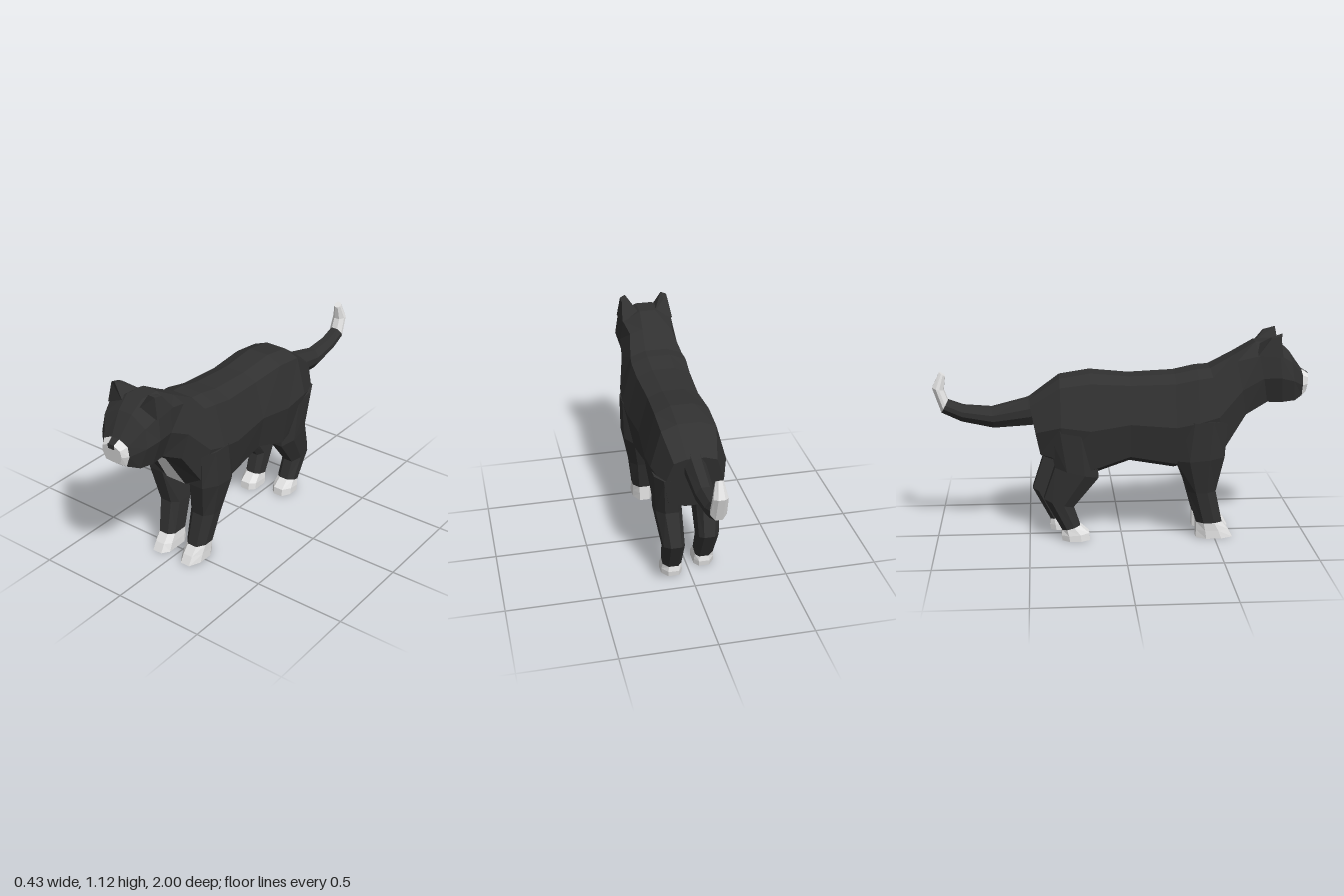
import * as THREE from 'three';

const black = new THREE.MeshStandardMaterial({ color: 0x313131 });
black.name = 'black fur';
const white = new THREE.MeshStandardMaterial({ color: 0xe4e4e4 });
white.name = 'white fur';

// Faceted skin over closed rings of [x, y, z]; isWhite(i, j) picks the faces of band i, column j.
function loft(name, rings, isWhite = () => false) {
  const n = rings[0].length, tris = [[], []];
  const add = (w, a, b, c) => tris[w ? 1 : 0].push([a, b, c]);
  for (let i = 0; i < rings.length - 1; i++) {
    for (let j = 0; j < n; j++) {
      const k = (j + 1) % n, w = isWhite(i, j);
      add(w, rings[i][j], rings[i + 1][j], rings[i + 1][k]);
      add(w, rings[i][j], rings[i + 1][k], rings[i][k]);
    }
  }
  const last = rings.length - 1;
  for (let j = 1; j < n - 1; j++) {
    add(isWhite(-1, j), rings[0][0], rings[0][j], rings[0][j + 1]);
    add(isWhite(last, j), rings[last][0], rings[last][j + 1], rings[last][j]);
  }
  // Turn the skin outwards if the enclosed volume is negative
  const vec = (p) => new THREE.Vector3(...p);
  let volume = 0;
  for (const [a, b, c] of tris.flat()) volume += vec(a).dot(vec(b).cross(vec(c)));
  const pos = [];
  for (const [a, b, c] of tris.flat()) pos.push(...a, ...(volume < 0 ? [...c, ...b] : [...b, ...c]));
  const geo = new THREE.BufferGeometry();
  geo.setAttribute('position', new THREE.Float32BufferAttribute(pos, 3));
  geo.addGroup(0, tris[0].length * 3, 0);
  geo.addGroup(tris[0].length * 3, tris[1].length * 3, 1);
  geo.computeVertexNormals();
  const mesh = new THREE.Mesh(geo, [black, white]);
  mesh.name = name;
  return mesh;
}

// Half outlines as [part of half width, part of height], from low to high
const headOutline = [[0.75, 0.03], [1, 0.45], [0.9, 0.82], [0.28, 1]];
const bodyOutline = [[0.83, 0.1], [1, 0.5], [0.72, 0.93], [0.3, 1]];

// Symmetric ring; column 9 is the strip along the underside
function section([bz, by, tz, ty, w, s], outline) {
  const half = [[s, by, bz], ...outline.map(([u, t]) =>
    [u * w, by + t * (ty - by), bz + t * (tz - bz)])];
  return [...half, ...half.slice().reverse().map(([x, y, z]) => [-x, y, z])];
}

// Leg ring with chamfered corners
const legOutline = [[0, 0.8], [0.25, 1], [0.75, 1], [1, 0.68], [1, 0.27], [0.72, 0], [0.2, 0], [0, 0.2]];
const legRing = (side, dz) => ([yb, yf, zb, zf, xi, xo]) => legOutline.map(([u, v]) =>
  [side * (xi + u * (xo - xi)), yb + v * (yf - yb), zb + v * (zf - zb) + dz]);

export function createModel() {
  const cat = new THREE.Group();
  cat.name = 'cat';

  // Torso, from neck to rump: [bottom z, bottom y, top z, top y, half width, strip half width]
  const neck = [0.77, 0.745, 0.71, 1.065, 0.155, 0.02];
  const torso = [
    [0.66, 0.66, 0.6, 1.0, 0.168, 0.04],
    [0.54, 0.46, 0.47, 0.93, 0.203, 0.06],
    [0.4, 0.41, 0.4, 0.925, 0.213, 0.055],
    [0.28, 0.385, 0.28, 0.9, 0.205, 0.05],
    [0.04, 0.43, 0.04, 0.89, 0.19, 0.06],
    [-0.17, 0.35, -0.17, 0.91, 0.2, 0.04],
    [-0.32, 0.42, -0.33, 0.885, 0.2, 0.04],
    [-0.43, 0.46, -0.49, 0.77, 0.155, 0.04],
  ];
  cat.add(loft('body', [section(neck, headOutline), ...torso.map((r) => section(r, bodyOutline))],
    (i, j) => j === 9 && i >= 0 && i < 6));

  // Head, ending in a white muzzle
  const head = [
    neck,
    [0.85, 0.745, 0.82, 1.07, 0.167, 0.04],
    [0.92, 0.75, 0.89, 1.015, 0.142, 0.04],
    [0.965, 0.77, 0.965, 0.91, 0.083, 0.03],
    [0.99, 0.79, 1.0, 0.887, 0.06, 0.02],
  ];
  cat.add(loft('head', head.map((r) => section(r, headOutline)), (i, j) => i === 4 || (i === 3 && j !== 4)));
  const nose = new THREE.Mesh(new THREE.BoxGeometry(0.038, 0.024, 0.008), black);
  nose.name = 'nose';
  nose.position.set(0, 0.878, 0.997);
  cat.add(nose);

  // Leg rings: [back y, front y, back z, front z, inner x, outer x]
  const front = [
    [0, 0, 0.4, 0.6, 0.04, 0.15],
    [0.045, 0.045, 0.4, 0.575, 0.04, 0.15],
    [0.09, 0.09, 0.4, 0.54, 0.042, 0.152],
    [0.27, 0.27, 0.35, 0.5, 0.04, 0.176],
    [0.45, 0.47, 0.28, 0.54, 0.05, 0.214],
    [0.67, 0.67, 0.31, 0.55, 0.08, 0.214],
  ];
  const rear = [
    [0, 0, -0.385, -0.235, 0.04, 0.15],
    [0.03, 0.04, -0.39, -0.24, 0.04, 0.15],
    [0.06, 0.085, -0.385, -0.29, 0.045, 0.145],
    [0.24, 0.19, -0.48, -0.325, 0.045, 0.155],
    [0.42, 0.36, -0.42, -0.19, 0.045, 0.18],
    [0.64, 0.62, -0.465, -0.2, 0.06, 0.195],
  ];
  const ear = [
    [[0.048, 1.03, 0.85], [0.155, 1.0, 0.84], [0.145, 1.01, 0.71], [0.045, 1.05, 0.72]],
    [[0.105, 1.12, 0.84], [0.135, 1.11, 0.83], [0.133, 1.098, 0.78], [0.11, 1.1, 0.78]],
  ];
  for (const [side, label] of [[1, 'left'], [-1, 'right']]) {
    const paw = (i) => i < 2;
    cat.add(loft(label + 'FrontLeg', front.map(legRing(side, 0)), paw));
    // The right hind leg steps slightly forward
    cat.add(loft(label + 'HindLeg', rear.map(legRing(side, side < 0 ? 0.06 : 0)), paw));
    cat.add(loft(label + 'Ear', ear.map((r) => r.map(([x, y, z]) => [side * x, y, z]))));
  }

  // Tail: [top z, top y, bottom z, bottom y, half width], curling up to a white tip
  const tail = [
    [-0.44, 0.8, -0.43, 0.63, 0.055],
    [-0.5, 0.77, -0.49, 0.625, 0.055],
    [-0.69, 0.722, -0.68, 0.613, 0.048],
    [-0.84, 0.735, -0.85, 0.65, 0.043],
    [-0.92, 0.765, -0.955, 0.7, 0.04],
    [-0.94, 0.82, -1.0, 0.835, 0.037],
    [-0.93, 0.895, -0.96, 0.918, 0.02],
  ];
  const tailOutline = [[0.45, 0], [1, 0.35], [1, 0.65], [0.45, 1], [-0.45, 1], [-1, 0.65], [-1, 0.35], [-0.45, 0]];
  cat.add(loft('tail', tail.map(([tz, ty, bz, by, w]) => tailOutline.map(([u, t]) =>
    [u * w, by + t * (ty - by), bz + t * (tz - bz)])), (i) => i >= 4));

  return cat;
}
